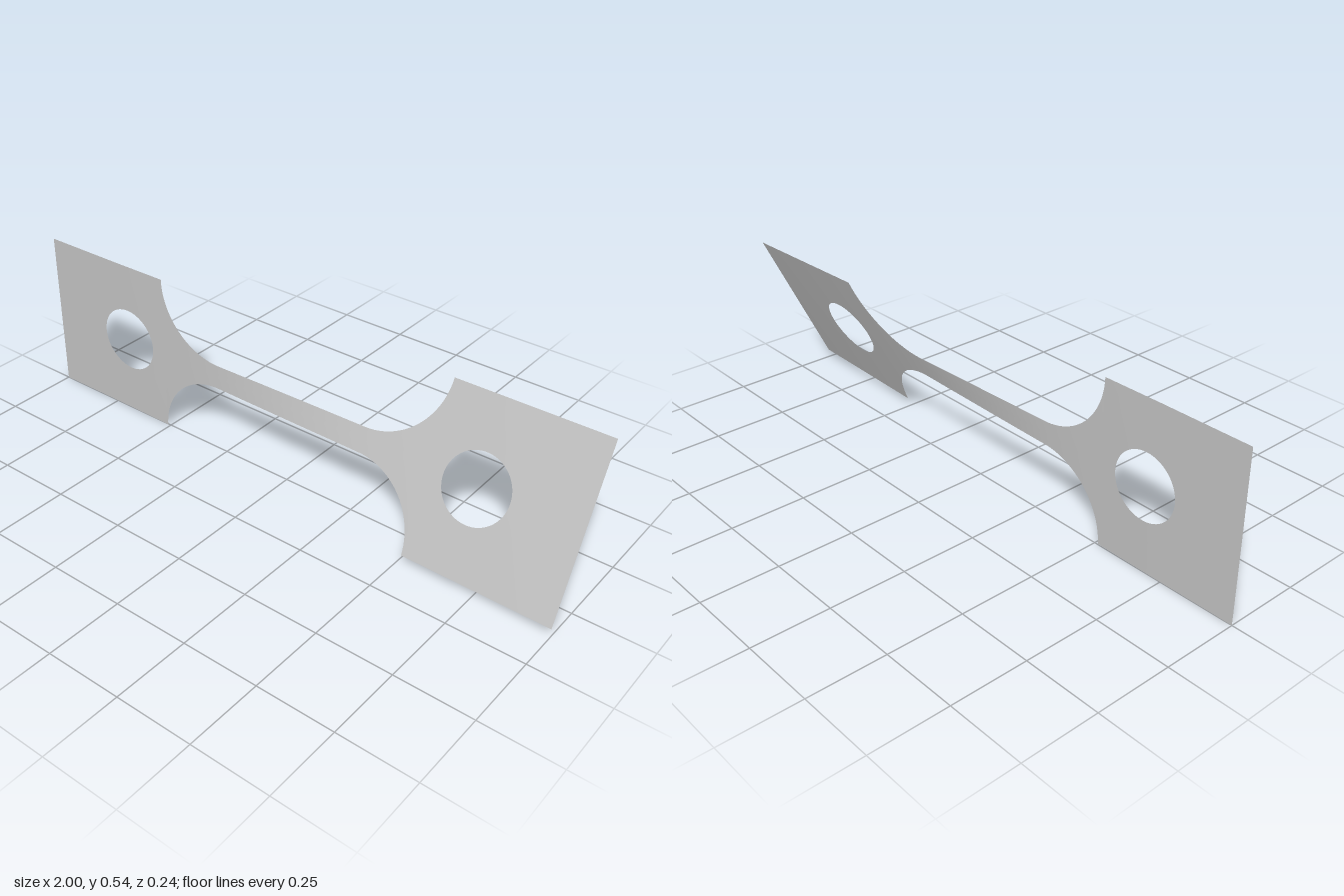
import * as THREE from 'three';
import { mergeVertices } from 'three/addons/utils/BufferGeometryUtils.js';

const HALF = 0.271;    // half height of the grips
const NECK = 0.04;     // half height of the neck
const SHOULDER = 0.51; // inner edge of the grips
const FILLET = HALF - NECK;
const HOLE_X = 0.67, HOLE_R = 0.108;

// twist in degrees along x
const TWIST = [[-1, 0], [-0.7, 0.1], [-0.51, 0.6], [-0.4, 1.3], [-0.28, 3.2], [0, 12.4],
  [0.28, 21.6], [0.4, 23.4], [0.51, 24.2], [1, 26.4]];

function twistAt(x) {
  for (let i = 1; i < TWIST.length; i++) {
    const [x0, a0] = TWIST[i - 1], [x1, a1] = TWIST[i];
    if (x <= x1) return THREE.MathUtils.degToRad(a0 + (a1 - a0) * (x - x0) / (x1 - x0));
  }
  return THREE.MathUtils.degToRad(TWIST[TWIST.length - 1][1]);
}

// columns for the right half: neck, fillet arc, grip with hole
function halfColumns() {
  const cols = [];
  const add = (x, outer, inner = 0) => cols.push({ x, outer, inner });
  const start = SHOULDER - FILLET;
  for (let i = 1; i < 10; i++) add(start * i / 10, NECK);
  for (let i = 0; i <= 24; i++) {
    const t = i / 24 * Math.PI / 2;
    add(start + FILLET * Math.sin(t), HALF - FILLET * Math.cos(t));
  }
  for (let i = 0; i <= 32; i++) {
    const t = i / 32 * Math.PI;
    add(HOLE_X - HOLE_R * Math.cos(t), HALF, i % 32 ? HOLE_R * Math.sin(t) : 0);
  }
  for (let i = 1; i <= 6; i++) add(THREE.MathUtils.lerp(HOLE_X + HOLE_R, 1, i / 6), HALF);
  return cols;
}

// strips above and below the centre line, turned about the x axis
function twistedPlate() {
  const right = halfColumns();
  const left = right.map(c => ({ ...c, x: -c.x })).reverse();
  const columns = [...left, { x: 0, outer: NECK, inner: 0 }, ...right];
  const rows = 4, positions = [], indices = [];
  for (const side of [-1, 1]) {
    const base = positions.length / 3;
    for (const { x, outer, inner } of columns) {
      const a = twistAt(x);
      for (let j = 0; j <= rows; j++) {
        const y = side * THREE.MathUtils.lerp(inner, outer, j / rows);
        positions.push(x, HALF + y * Math.cos(a), -y * Math.sin(a));
      }
    }
    for (let i = 0; i < columns.length - 1; i++) {
      for (let j = 0; j < rows; j++) {
        const a = base + i * (rows + 1) + j, b = a + rows + 1;
        if (side > 0) indices.push(a, b, b + 1, a, b + 1, a + 1);
        else indices.push(a, b + 1, b, a, a + 1, b + 1);
      }
    }
  }
  const geometry = new THREE.BufferGeometry();
  geometry.setAttribute('position', new THREE.Float32BufferAttribute(positions, 3));
  geometry.setIndex(indices);
  const merged = mergeVertices(geometry, 1e-5);
  merged.computeVertexNormals();
  return merged;
}

export function createModel() {
  const group = new THREE.Group();
  group.name = 'twistedTestStrip';
  const metal = new THREE.MeshStandardMaterial({ color: 0xbfbfbf, side: THREE.DoubleSide });
  metal.name = 'light grey metal';
  const plate = new THREE.Mesh(twistedPlate(), metal);
  plate.name = 'twistedPlate';
  group.add(plate);
  return group;
}
